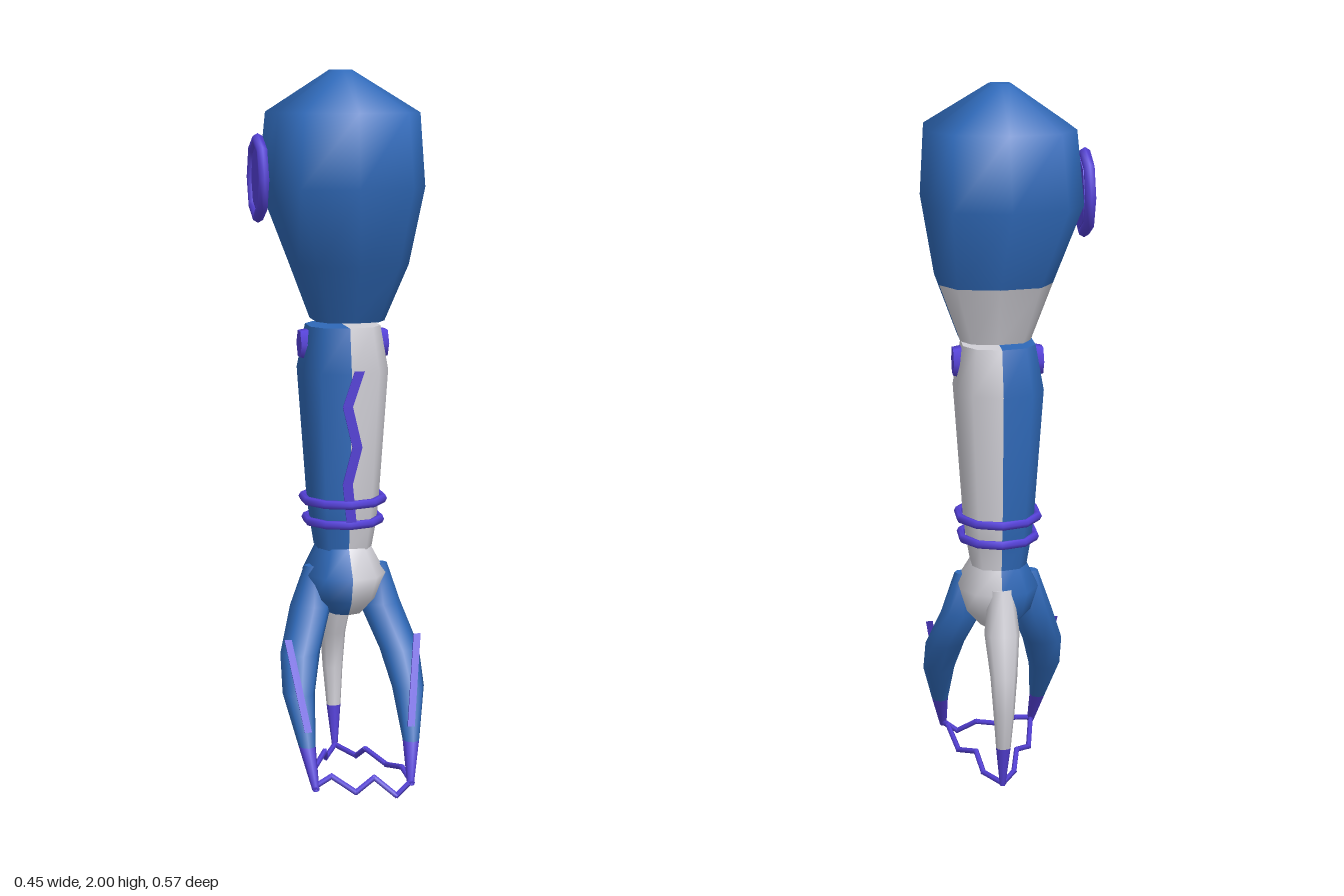
import * as THREE from 'three';

const material = (name, color) => {
  const m = new THREE.MeshStandardMaterial({ color });
  m.name = name;
  return m;
};

export function createModel() {
  const group = new THREE.Group();
  const blue = material('blue', 0x2f69b8);
  const white = material('white', 0xd0cfd6);
  const purple = material('purple', 0x5541d8);
  const CX = 0.024; // centre line of the arm

  const add = (name, geometry, mat) => {
    const mesh = new THREE.Mesh(geometry, mat);
    mesh.name = name;
    group.add(mesh);
    return mesh;
  };

  // Lofts level rings [y, cx, cz, rx, rz], lowest first; pick(row, side) chooses a material index.
  // A power below 1 makes the sections squarer.
  function loft(name, rings, sides, power, mats, pick) {
    const pos = [], faces = mats.map(() => []);
    const soft = v => Math.sign(v) * Math.pow(Math.abs(v) < 1e-6 ? 0 : Math.abs(v), power);
    const ring = ([y, cx, cz, rx, rz]) => {
      for (let j = 0; j < sides; j++) {
        const a = (j / sides) * Math.PI * 2;
        pos.push(cx + rx * soft(Math.sin(a)), y, cz + rz * soft(Math.cos(a)));
      }
    };
    rings.forEach(ring);
    for (let i = 0; i < rings.length - 1; i++) {
      for (let j = 0; j < sides; j++) {
        const k = (j + 1) % sides, lo = i * sides, hi = lo + sides;
        faces[pick(i, j)].push(lo + j, lo + k, hi + k, lo + j, hi + k, hi + j);
      }
    }
    // End caps with their own corners, so the rims stay sharp
    [0, rings.length - 1].forEach(i => {
      const start = pos.length / 3;
      ring(rings[i]);
      pos.push(rings[i][1], rings[i][0], rings[i][2]);
      for (let j = 0; j < sides; j++) {
        const a = start + j, b = start + (j + 1) % sides;
        faces[pick(Math.max(0, i - 1), j)].push(start + sides, ...(i ? [a, b] : [b, a]));
      }
    });
    const g = new THREE.BufferGeometry();
    g.setAttribute('position', new THREE.Float32BufferAttribute(pos, 3));
    g.setIndex(faces.flat());
    let offset = 0;
    faces.forEach((f, m) => {
      g.addGroup(offset, f.length, m);
      offset += f.length;
    });
    g.computeVertexNormals();
    return add(name, g, mats);
  }

  // Straight bars along a list of points
  function bars(name, points, radius) {
    const part = new THREE.Group();
    part.name = name;
    const v = points.map(p => new THREE.Vector3(...p));
    for (let i = 0; i < v.length - 1; i++) {
      const d = v[i + 1].clone().sub(v[i]);
      const bar = new THREE.Mesh(new THREE.CylinderGeometry(radius, radius, d.length() + radius, 5), purple);
      bar.name = name + 'Bar';
      bar.position.copy(v[i]).addScaledVector(d, 0.5);
      bar.quaternion.setFromUnitVectors(new THREE.Vector3(0, 1, 0), d.normalize());
      part.add(bar);
    }
    group.add(part);
  }

  // Thin ribbon facing the front, following [x, y, z] points
  function ribbon(name, points, width) {
    const pos = [], index = [];
    points.forEach(([x, y, z], i) => {
      pos.push(x - width / 2, y, z, x + width / 2, y, z);
      pos.push(x - width / 2, y, z - 0.005, x + width / 2, y, z - 0.005);
      if (i) {
        const a = 4 * (i - 1), b = 4 * i;
        [[0, 1], [1, 3], [3, 2], [2, 0]].forEach(([p, q]) =>
          index.push(b + p, b + q, a + q, b + p, a + q, a + p));
      }
    });
    // Points run downwards, so each strip is wound from its lower edge
    const g = new THREE.BufferGeometry();
    g.setAttribute('position', new THREE.Float32BufferAttribute(pos, 3));
    g.setIndex(index);
    const flat = g.toNonIndexed();
    flat.computeVertexNormals();
    add(name, flat, purple);
  }

  // Shoulder shell with a pale panel low on the back
  loft('shoulder', [
    [1.31, 0.035, -0.035, 0.1, 0.115],
    [1.47, 0.035, -0.02, 0.16, 0.185],
    [1.685, 0.0125, -0.012, 0.218, 0.275],
    [1.885, 0.0175, -0.02, 0.203, 0.243],
    [2.0, 0.015, -0.025, 0.03, 0.036],
  ], 10, 0.66, [blue, white], (i, j) => (i === 0 && j >= 3 && j <= 6 ? 1 : 0));

  // Round emblem plate on the outer side of the shoulder
  const rim = add('shoulderRing', new THREE.TorusGeometry(0.107, 0.016, 6, 8), purple);
  rim.position.set(-0.214, 1.705, -0.042);
  rim.rotation.y = -Math.PI / 2;
  const disc = add('shoulderDisc', new THREE.CylinderGeometry(0.1, 0.1, 0.02, 8), purple);
  disc.position.set(-0.208, 1.705, -0.042);
  disc.rotation.z = Math.PI / 2;

  // Forearm and palm, blue on one half and white on the other
  const half = (i, j) => (j < 5 ? 1 : 0);
  loft('forearm', [
    [0.66, CX, -0.04, 0.08, 0.095],
    [0.73, CX, -0.038, 0.092, 0.105],
    [0.8, CX, -0.042, 0.1, 0.117],
    [1.17, CX, -0.045, 0.126, 0.14],
    [1.295, CX, -0.04, 0.104, 0.11],
  ], 10, 0.8, [blue, white], half);
  loft('palm', [
    [0.475, CX, -0.025, 0.055, 0.075],
    [0.52, CX, -0.022, 0.095, 0.115],
    [0.59, CX, -0.02, 0.117, 0.135],
    [0.67, CX, -0.035, 0.075, 0.09],
  ], 10, 0.9, [blue, white], half);

  // Wrist bands
  [[0.8, 0.115, 0.124], [0.74, 0.108, 0.113]].forEach(([y, rx, rz]) => {
    const band = add('wristBand', new THREE.TorusGeometry(1, 0.1, 6, 10).rotateX(Math.PI / 2).rotateY(Math.PI / 2), purple);
    band.scale.set(rx, 0.13, rz);
    band.position.set(CX, y, -0.037);
  });

  // Elbow bolts
  [-1, 1].forEach(s => {
    const bolt = add('elbowBolt', new THREE.CylinderGeometry(0.042, 0.052, 0.05, 6), purple);
    bolt.rotation.z = -s * Math.PI / 2;
    bolt.position.set(CX + s * 0.1, 1.243, -0.037);
  });

  // Jagged stripe down the forearm
  ribbon('forearmStripe', [
    [0.045, 1.18, 0.104], [0.012, 1.08, 0.101], [0.04, 0.965, 0.096],
    [0.014, 0.86, 0.09], [0.026, 0.75, 0.084],
  ], 0.028);

  // Claws with purple tips
  const tip = i => (i === 0 ? 1 : 0);
  loft('backClaw', [
    [0.02, CX, -0.155, 0.008, 0.007],
    [0.145, CX, -0.175, 0.021, 0.018],
    [0.26, CX, -0.19, 0.03, 0.031],
    [0.365, CX, -0.187, 0.038, 0.034],
    [0.48, CX, -0.14, 0.05, 0.055],
    [0.605, CX, -0.12, 0.035, 0.035],
  ], 8, 1, [white, purple], tip);
  [-1, 1].forEach(s => {
    loft('frontClaw', [
      [0.04, 0.134, 0.262, 0.01, 0.015],
      [0.15, 0.148, 0.204, 0.024, 0.031],
      [0.28, 0.157, 0.125, 0.046, 0.05],
      [0.38, 0.143, 0.07, 0.057, 0.054],
      [0.5, 0.1, 0, 0.06, 0.055],
      [0.615, 0.09, 0.005, 0.03, 0.022],
    ].map(([y, d, ...rest]) => [y, CX + s * d, ...rest]), 8, 1, [blue, purple], tip);
    ribbon('clawStripe', [[CX + s * 0.185, 0.43, 0.116], [CX + s * 0.146, 0.19, 0.216]], 0.02);
    // Energy arc from the back claw to each front claw
    bars('sideArc', [
      [CX + s * 0.136, 0.045, 0.27], [CX + s * 0.125, 0.065, 0.19], [CX + s * 0.105, 0.035, 0.075],
      [CX + s * 0.06, 0.06, 0], [CX + s * 0.045, 0.02, -0.06], [CX, 0.026, -0.155],
    ], 0.008);
  });

  // Energy arc between the front claws
  bars('frontArc', [
    [-0.112, 0.05, 0.262], [-0.06, 0.065, 0.23], [0, 0.03, 0.275],
    [0.06, 0.055, 0.235], [0.115, 0.012, 0.272], [0.16, 0.05, 0.262],
  ], 0.008);

  return group;
}
